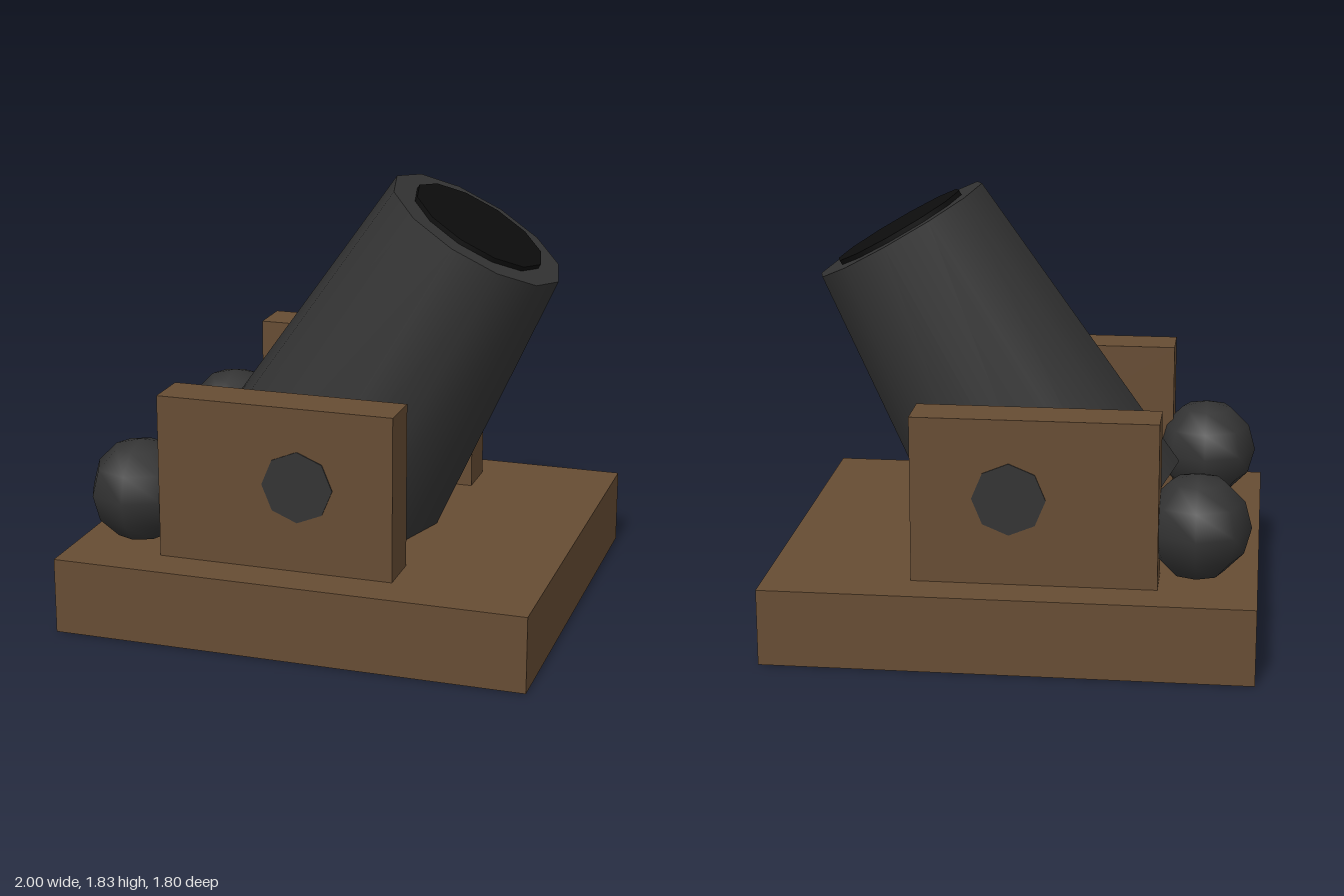
import * as THREE from 'three';

export function createModel() {
  const model = new THREE.Group();
  model.name = 'mortar';

  const material = (name, color) => {
    const m = new THREE.MeshStandardMaterial({ color });
    m.name = name;
    return m;
  };
  const wood = material('wood', 0x664c33);
  const iron = material('iron', 0x333333);
  const black = material('boreBlack', 0x0d0d0d);

  const add = (parent, name, geometry, mat, x, y, z) => {
    const mesh = new THREE.Mesh(geometry, mat);
    mesh.name = name;
    mesh.position.set(x, y, z);
    parent.add(mesh);
    return mesh;
  };

  // Wooden bed
  add(model, 'base', new THREE.BoxGeometry(2, 0.32, 1.8), wood, 0, 0.16, 0);

  // Cheeks and cannonballs on both sides
  for (const [side, s] of [['left', 1], ['right', -1]]) {
    add(model, side + 'Cheek', new THREE.BoxGeometry(1, 0.69, 0.2), wood, -0.1, 0.665, s * 0.62);
    add(model, side + 'Cannonball', new THREE.SphereGeometry(0.22, 8, 6), iron, -0.75, 0.54, s * 0.55);
  }

  // Pivot pin running through the cheeks
  const pin = new THREE.CylinderGeometry(0.15, 0.15, 1.45, 8).rotateX(Math.PI / 2);
  add(model, 'trunnion', pin, iron, 0, 0.68, 0);

  // Tapered barrel tilted 30 degrees, with the bore just proud of the muzzle
  const barrel = new THREE.Group();
  barrel.name = 'barrelGroup';
  barrel.position.set(0.18, 1.0, 0);
  barrel.rotation.z = -Math.PI / 6;
  add(barrel, 'barrel', new THREE.CylinderGeometry(0.4, 0.54, 1.45, 12), iron, 0, 0, 0);
  add(barrel, 'bore', new THREE.CylinderGeometry(0.3, 0.3, 0.1, 12), black, 0, 0.695, 0);
  model.add(barrel);

  return model;
}
